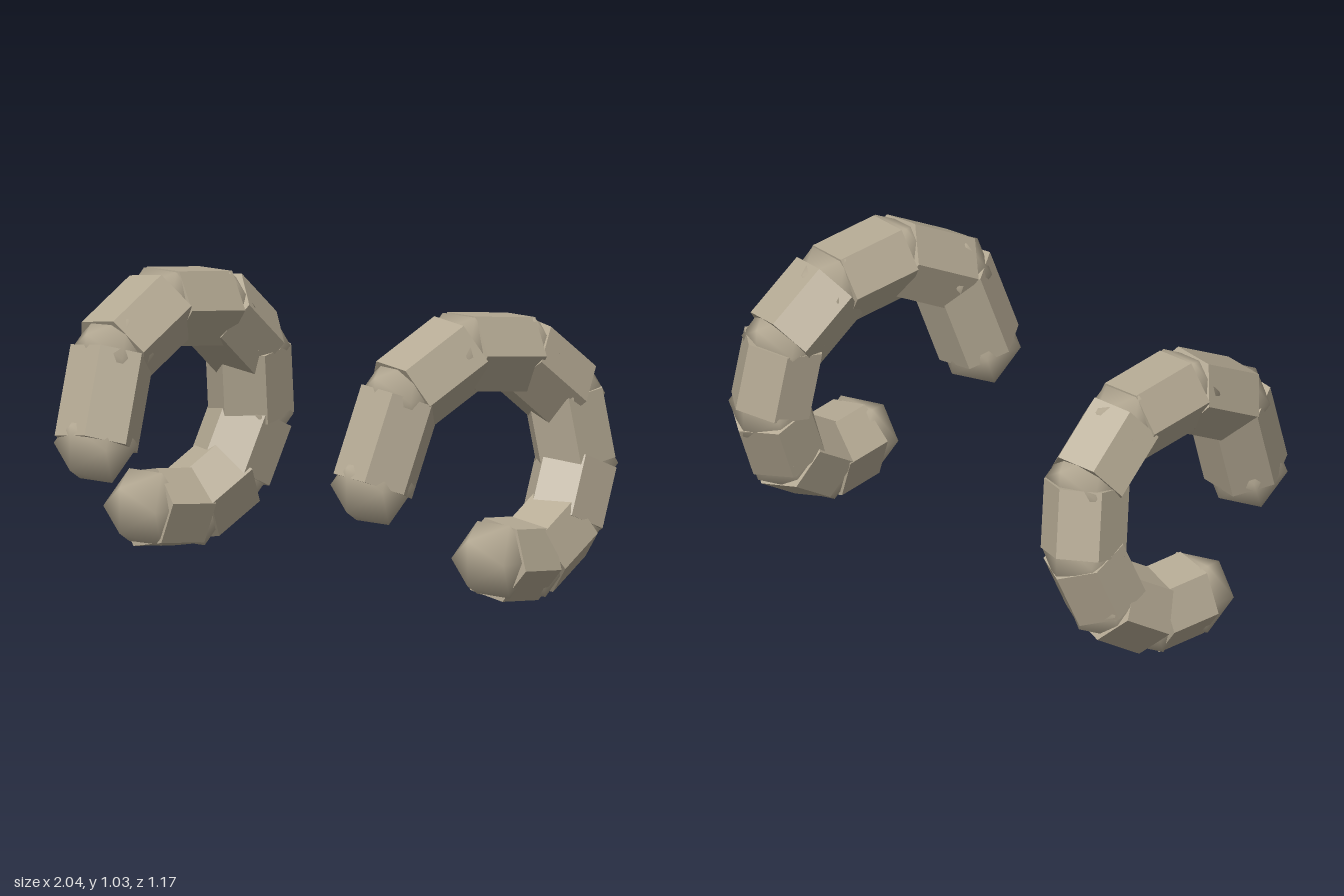
import * as THREE from 'three';

const RADIUS = 0.153;

// Joint centres from the upper tip, over the back, to the lower tip (left side)
const JOINTS = [
  [0.69, 0.455, 0.455], [0.72, 0.765, 0.345], [0.745, 0.9, 0.08],
  [0.76, 0.87, -0.2], [0.785, 0.71, -0.4], [0.81, 0.46, -0.44],
  [0.83, 0.255, -0.35], [0.85, 0.148, -0.167], [0.868, 0.165, 0.03],
];
// Roll of each hexagonal segment, in degrees
const ROLLS = [-3, -5, 0, -12, 23, 25, 15, 10];

// Faceted knuckle with rounded shading
function knuckleGeometry() {
  const geo = new THREE.IcosahedronGeometry(RADIUS, 0);
  const p = geo.attributes.position, n = new THREE.Vector3();
  for (let i = 0; i < p.count; i++) {
    n.fromBufferAttribute(p, i).normalize();
    geo.attributes.normal.setXYZ(i, n.x, n.y, n.z);
  }
  return geo;
}

// Hexagonal prism with flat faces
function segmentGeometry(length) {
  const geo = new THREE.CylinderGeometry(RADIUS, RADIUS, length, 6).toNonIndexed();
  geo.computeVertexNormals();
  return geo;
}

function makeHorn(side, material) {
  const horn = new THREE.Group();
  horn.name = side > 0 ? 'leftHorn' : 'rightHorn';
  const points = JOINTS.map(([x, y, z]) => new THREE.Vector3(side * x, y, z));
  const knuckle = knuckleGeometry();

  // Knuckles at every joint and both tips
  points.forEach((p, i) => {
    const mesh = new THREE.Mesh(knuckle, material);
    mesh.name = i === 0 || i === points.length - 1 ? 'hornTip' : 'hornKnuckle';
    mesh.position.copy(p);
    horn.add(mesh);
  });

  // Prisms joining the knuckles, rolled about their own axis
  ROLLS.forEach((roll, i) => {
    const a = points[i], b = points[i + 1];
    const dir = b.clone().sub(a);
    const mesh = new THREE.Mesh(segmentGeometry(dir.length()), material);
    mesh.name = 'hornSegment';
    dir.normalize();
    const across = new THREE.Vector3(side, 0, 0);
    across.addScaledVector(dir, -across.dot(dir)).normalize();
    const outward = across.clone().cross(dir).multiplyScalar(side);
    const t = THREE.MathUtils.degToRad(roll);
    const corner = across.multiplyScalar(Math.cos(t)).addScaledVector(outward, Math.sin(t));
    const basis = new THREE.Matrix4().makeBasis(dir.clone().cross(corner), dir, corner);
    mesh.quaternion.setFromRotationMatrix(basis);
    mesh.position.copy(a).lerp(b, 0.5);
    horn.add(mesh);
  });
  return horn;
}

export function createModel() {
  const model = new THREE.Group();
  model.name = 'curledHorns';
  const bone = new THREE.MeshStandardMaterial({ color: 0xb5aa94 });
  bone.name = 'bone';
  for (const side of [1, -1]) model.add(makeHorn(side, bone));
  return model;
}
